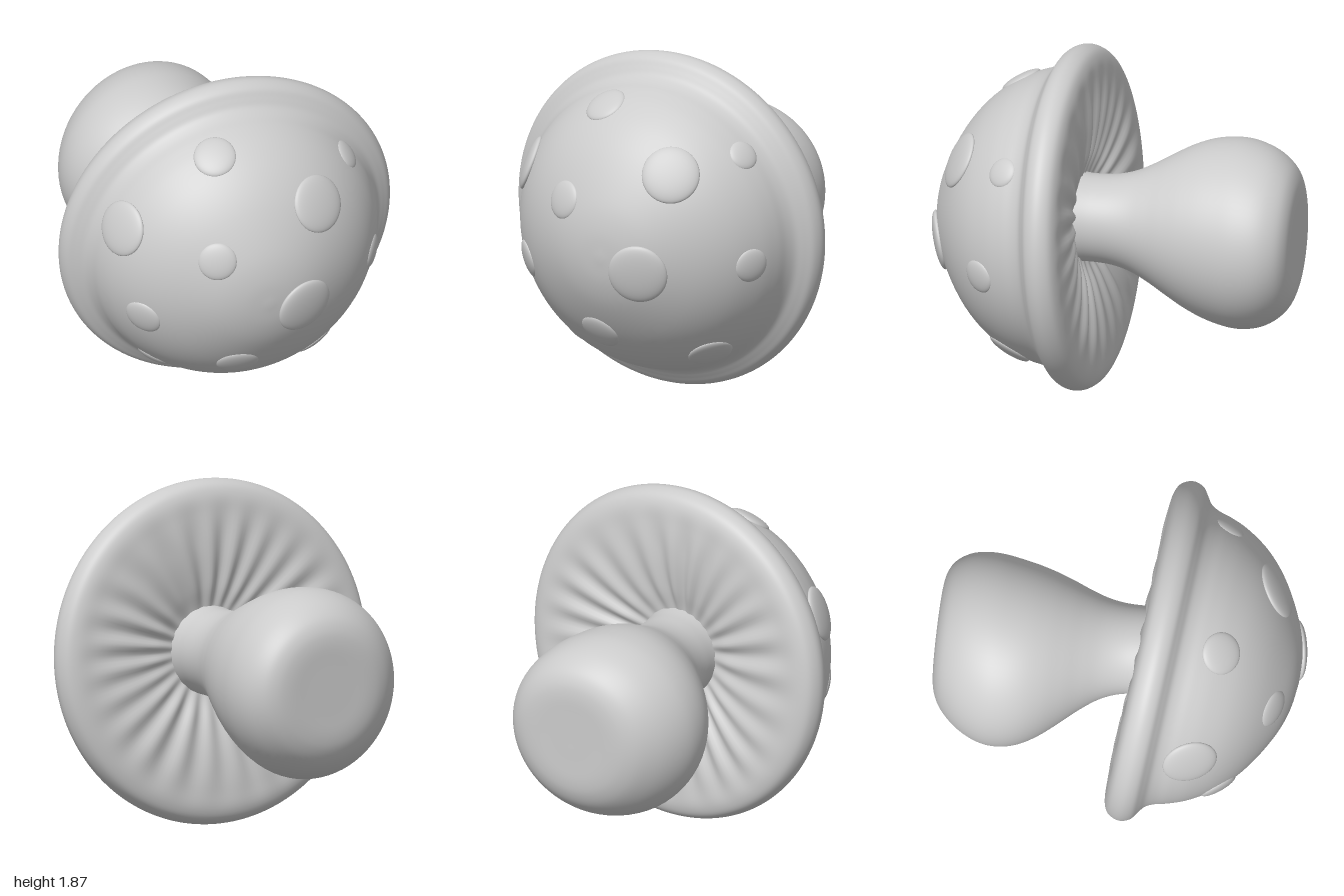
import * as THREE from 'three';
import { mergeVertices } from 'three/addons/utils/BufferGeometryUtils.js';

const material = new THREE.MeshStandardMaterial({ color: 0xcccccc });

// Smooth surface of revolution around z, with a rule that moves each vertex
function turned(points, samples, segments, rule) {
  const curve = new THREE.CatmullRomCurve3(points.map(([r, h]) => new THREE.Vector3(r, h, 0)), false, 'centripetal');
  const profile = curve.getPoints(samples).map((p) => new THREE.Vector2(Math.max(p.x, 0), p.y));
  profile[0].x = 0;
  profile[samples].x = 0;
  let geo = new THREE.LatheGeometry(profile, segments);
  geo.deleteAttribute('uv');
  geo.deleteAttribute('normal');
  geo.rotateX(Math.PI / 2);
  geo = mergeVertices(geo, 1e-5);
  const pos = geo.attributes.position;
  const v = new THREE.Vector3();
  for (let i = 0; i < pos.count; i++) {
    rule(v.fromBufferAttribute(pos, i));
    pos.setXYZ(i, v.x, v.y, v.z);
  }
  geo.computeVertexNormals();
  return geo;
}

function addMesh(parent, name, geo) {
  const mesh = new THREE.Mesh(geo, material);
  mesh.name = name;
  parent.add(mesh);
  return mesh;
}

export function createModel() {
  const model = new THREE.Group();
  model.name = 'mushroom';

  // Cap: shallow gilled underside, rolled rim, then dome (radius, height along the axis)
  const capProfile = [
    [0, 0.03], [0.12, 0.025], [0.24, 0], [0.36, -0.04], [0.5, -0.07], [0.62, -0.083], [0.75, -0.086], [0.85, -0.08],
    [0.905, -0.055], [0.932, -0.01], [0.935, 0.03], [0.915, 0.075], [0.875, 0.105], [0.835, 0.135],
    [0.81, 0.18], [0.79, 0.25], [0.75, 0.35], [0.66, 0.488], [0.52, 0.617], [0.3, 0.742], [0.15, 0.788], [0, 0.802],
  ];
  const cap = addMesh(model, 'cap', turned(capProfile, 100, 192, (v) => {
    const r = Math.hypot(v.x, v.y);
    const a = Math.atan2(v.y, v.x);
    // Soft radial gills fade out towards the rim and the stem
    if (v.z < 0.04 && r < 0.88) {
      const fade = THREE.MathUtils.smoothstep(r, 0.15, 0.4) * (1 - THREE.MathUtils.smoothstep(r, 0.6, 0.88));
      v.z += 0.01 * fade * Math.sin(24 * a + 1.3 * Math.sin(3 * a) + 0.8 * r) * (1 + 0.3 * Math.sin(5 * a));
    }
  }));
  cap.position.set(0, 0.935, 0.165);
  cap.quaternion.setFromUnitVectors(new THREE.Vector3(0, 0, 1), new THREE.Vector3(-0.08, -0.08, 1).normalize());
  cap.updateMatrixWorld(true);

  // Stem: slim neck and bulbous foot with a flat end (radius, z); the bulb sags off the neck's axis
  const stemProfile = [
    [0, -1], [0.13, -1], [0.26, -0.999], [0.33, -0.985], [0.395, -0.95], [0.457, -0.88], [0.495, -0.8],
    [0.515, -0.7], [0.51, -0.6], [0.487, -0.5], [0.445, -0.4], [0.388, -0.3], [0.326, -0.2],
    [0.275, -0.1], [0.247, 0], [0.238, 0.12], [0.238, 0.35], [0, 0.36],
  ];
  const bell = (z, centre, width) => Math.exp(-(((z - centre) / width) ** 2));
  addMesh(model, 'stem', turned(stemProfile, 90, 72, (v) => {
    v.x -= 0.092 * bell(v.z, -0.55, 0.38);
    v.y += 0.94 - 0.062 * bell(v.z, -0.72, 0.5);
  }));

  // Spots: flattened domes set square to the cap surface: x, y, radius
  const spots = [
    [0.15, 0.8, 0.163], [0.285, 1.34, 0.157], [-0.33, 1.15, 0.105], [-0.22, 1.625, 0.115],
    [-0.72, 1.225, 0.15], [-0.66, 0.73, 0.105], [-0.165, 0.405, 0.115], [0.385, 0.29, 0.122],
    [0.68, 0.835, 0.095], [0.58, 1.415, 0.083], [-0.485, 0.285, 0.095],
  ];
  const ray = new THREE.Raycaster();
  const spotGeo = new THREE.SphereGeometry(1, 40, 24);
  for (const [x, y, r] of spots) {
    ray.set(new THREE.Vector3(x, y, 3), new THREE.Vector3(0, 0, -1));
    const hit = ray.intersectObject(cap)[0];
    const normal = hit.face.normal.clone().transformDirection(cap.matrixWorld);
    const spot = addMesh(model, 'spot', spotGeo);
    spot.position.copy(hit.point).addScaledVector(normal, -0.01);
    spot.quaternion.setFromUnitVectors(new THREE.Vector3(0, 0, 1), normal);
    spot.scale.set(r, r, 0.015 + r * 0.14);
  }
  return model;
}
